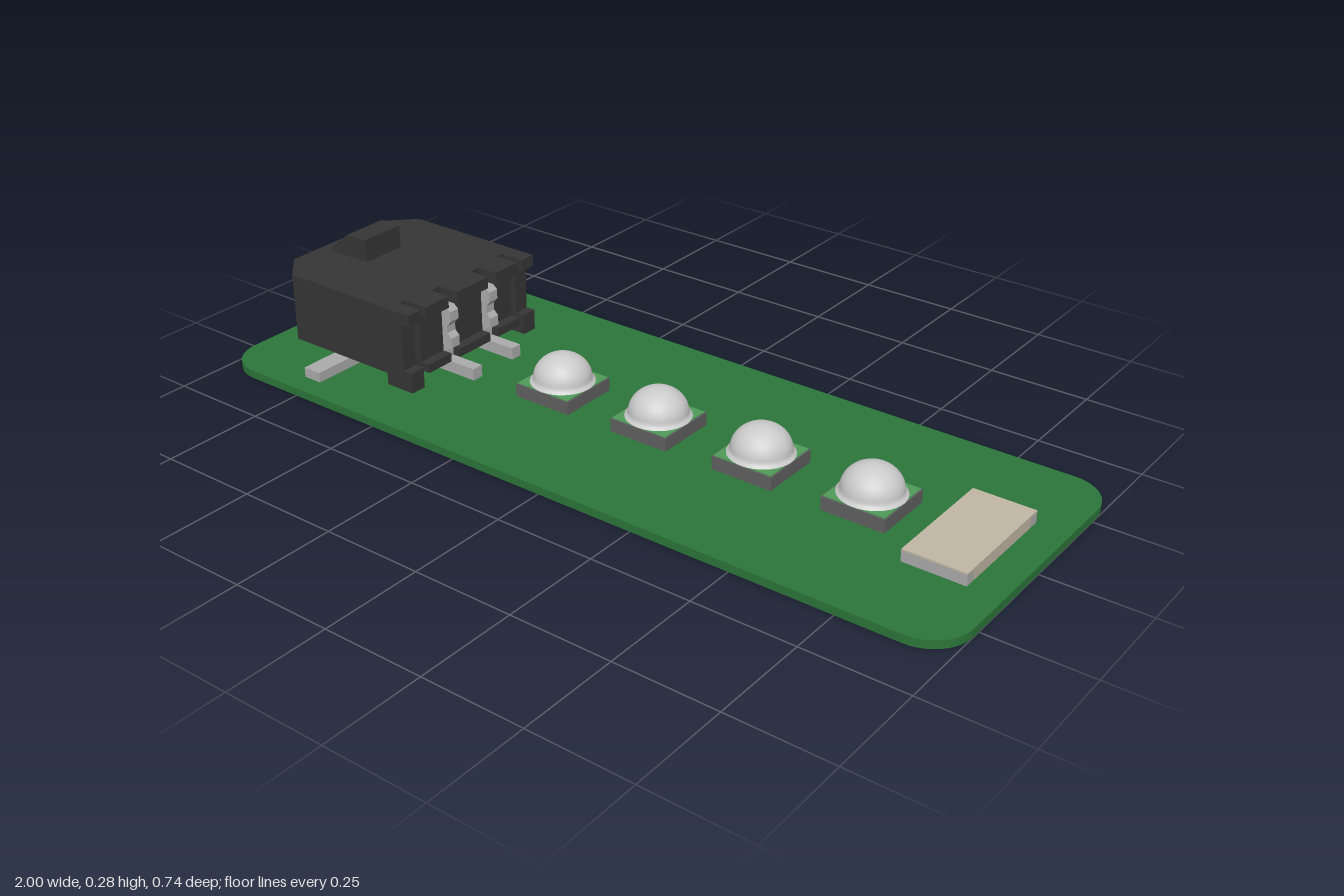
import * as THREE from 'three';

const paint = (color) => new THREE.MeshStandardMaterial({ color });

export function createModel() {
  const model = new THREE.Group();
  const green = paint(0x2b7539), padGreen = paint(0x4f9a58), black = paint(0x353535);
  const darkGrey = paint(0x606060), metal = paint(0xaaaaaa), beige = paint(0xc0b6a3), lens = paint(0xcccccc);

  const add = (name, geometry, material, parent = model) => {
    const mesh = new THREE.Mesh(geometry, material);
    mesh.name = name;
    parent.add(mesh);
    return mesh;
  };
  // Box given by its limits on each axis
  const box = (name, [x0, x1], [y0, y1], [z0, z1], material, parent) =>
    add(name, new THREE.BoxGeometry(x1 - x0, y1 - y0, z1 - z0)
      .translate((x0 + x1) / 2, (y0 + y1) / 2, (z0 + z1) / 2), material, parent);
  // Plan outline raised from y0 to y1
  const slab = (name, shape, y0, y1, material, parent) =>
    add(name, new THREE.ExtrudeGeometry(shape, { depth: y1 - y0, bevelEnabled: false, curveSegments: 10 })
      .rotateX(-Math.PI / 2).translate(0, y0, 0), material, parent);
  // Side profile (x, y) centred on z
  const profile = (name, points, width, z, material, parent) =>
    add(name, new THREE.ExtrudeGeometry(new THREE.Shape(points.map((p) => new THREE.Vector2(...p))),
      { depth: width, bevelEnabled: false }).translate(0, 0, z - width / 2), material, parent);

  // Circuit board with rounded corners
  const W = 1, D = 0.37, R = 0.1;
  const outline = new THREE.Shape();
  outline.absarc(W - R, D - R, R, 0, Math.PI / 2);
  outline.absarc(-W + R, D - R, R, Math.PI / 2, Math.PI);
  outline.absarc(-W + R, -D + R, R, Math.PI, Math.PI * 1.5);
  outline.absarc(W - R, -D + R, R, Math.PI * 1.5, Math.PI * 2);
  slab('board', outline, 0, 0.02, green);

  // Row of domed lamps
  const domeProfile = [[0.078, 0.055], [0.073, 0.06]].map((p) => new THREE.Vector2(...p));
  for (let i = 0; i <= 14; i++) {
    const a = (i / 14) * Math.PI / 2;
    domeProfile.push(new THREE.Vector2(0.07 * Math.cos(a), 0.064 + 0.06 * Math.sin(a)));
  }
  for (let i = 0; i < 4; i++) {
    const lamp = new THREE.Group();
    lamp.name = 'lamp' + (i + 1);
    box('lampBase', [-0.078, 0.078], [0.02, 0.053], [-0.078, 0.078], darkGrey, lamp);
    box('lampPlate', [-0.075, 0.075], [0.053, 0.055], [-0.075, 0.075], padGreen, lamp);
    add('lampDome', new THREE.LatheGeometry(domeProfile, 36), lens, lamp);
    lamp.position.set(-0.23 + i * 0.281, 0, 0.005);
    model.add(lamp);
  }

  // Flat chip component with metal end caps
  box('chipBody', [0.77, 0.92], [0.02, 0.05], [-0.118, 0.128], beige);
  for (const [z0, z1] of [[-0.146, -0.118], [0.128, 0.153]]) {
    box('chipCap', [0.77, 0.92], [0.02, 0.046], [z0, z1], metal);
    box('chipCapTop', [0.77, 0.92], [0.046, 0.05], [z0, z1], beige);
  }

  // Connector housing: stacked plan layers, sockets open at the left end, slots at the right
  const connector = new THREE.Group();
  connector.name = 'connector';
  model.add(connector);
  const plan = (end, sockets) => {
    const half = [[-0.96, 0.155], [-0.895, 0.222], [end, 0.222]];
    for (const [z, w, depth] of [[0.172, 0.018, -0.575], [0.07, 0.03, -0.565]]) {
      half.push([end, z + w / 2], [depth, z + w / 2], [depth, z - w / 2], [end, z - w / 2]);
    }
    const points = [...half, ...half.map(([x, z]) => [x, -z]).reverse()];
    if (sockets) {
      for (const [z0, z1] of [[-0.137, -0.014], [0.014, 0.137]]) {
        points.push([-0.96, z0], [-0.64, z0], [-0.64, z1], [-0.96, z1]);
      }
    }
    return new THREE.Shape(points.map((p) => new THREE.Vector2(...p)));
  };
  slab('housingFloor', plan(-0.51, false), 0.05, 0.072, black, connector);
  slab('housingWalls', plan(-0.535, true), 0.072, 0.192, black, connector);
  slab('housingRoof', plan(-0.51, false), 0.192, 0.222, black, connector);
  box('housingUnderside', [-0.88, -0.61], [0.025, 0.05], [-0.15, 0.15], black, connector);
  profile('latch', [[-0.925, 0.222], [-0.805, 0.222], [-0.805, 0.28], [-0.865, 0.28], [-0.925, 0.23]],
    0.12, 0, black, connector);

  // Feet, solder tabs and contacts on both sides
  for (const s of [-1, 1]) {
    const span = (a, b) => (s > 0 ? [a, b] : [-b, -a]);
    box('foot', [-0.59, -0.51], [0.02, 0.05], span(0.181, 0.222), black, connector);
    box('solderTab', [-0.775, -0.725], [0.02, 0.045], span(0.158, 0.315), metal, connector);
    box('tabStrip', [-0.577, -0.56], [0.145, 0.19], span(0.164, 0.18), metal, connector);
    box('pin', [-0.57, -0.44], [0.02, 0.05], span(0.055, 0.085), metal, connector);
    profile('contact', [[-0.565, 0.05], [-0.53, 0.05], [-0.53, 0.075], [-0.508, 0.085], [-0.508, 0.11],
      [-0.52, 0.122], [-0.52, 0.14], [-0.508, 0.155], [-0.508, 0.18], [-0.52, 0.19], [-0.565, 0.19]],
    0.028, s * 0.07, metal, connector);
  }
  return model;
}
